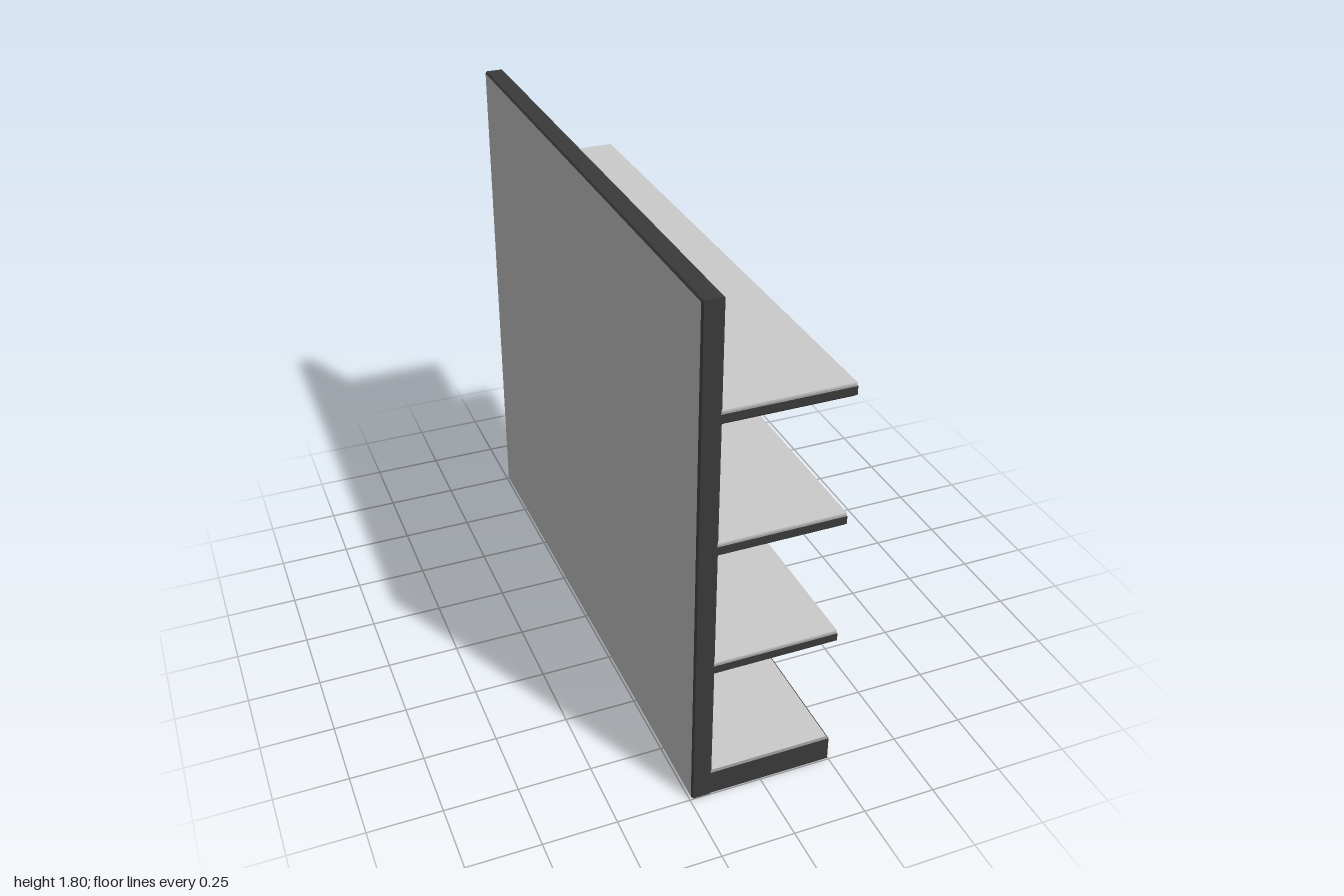
import * as THREE from 'three';

const BEVEL = 0.006;

export function createModel() {
  const model = new THREE.Group();
  model.name = 'shelfUnit';

  const light = new THREE.MeshStandardMaterial({ color: 0xcbcbcb });
  light.name = 'lightGreyBoard';
  const dark = new THREE.MeshStandardMaterial({ color: 0x3a3a3a });
  dark.name = 'darkGreyEdge';

  // Board lying in XY with light faces and a dark, chamfered edge band
  function boardGeometry(width, height, thickness) {
    const w = width / 2 - BEVEL, h = height / 2 - BEVEL;
    const outline = new THREE.Shape([
      new THREE.Vector2(-w, -h), new THREE.Vector2(w, -h),
      new THREE.Vector2(w, h), new THREE.Vector2(-w, h),
    ]);
    const depth = thickness - 2 * BEVEL;
    return new THREE.ExtrudeGeometry(outline, {
      depth, bevelEnabled: true, bevelSize: BEVEL, bevelThickness: BEVEL, bevelSegments: 1,
    }).translate(0, 0, -depth / 2);
  }

  function add(name, geometry, material, x, y) {
    const mesh = new THREE.Mesh(geometry, material);
    mesh.name = name;
    mesh.position.set(x, y, 0);
    model.add(mesh);
  }

  // Upright back panel
  const panel = boardGeometry(2, 1.797, 0.07).rotateY(Math.PI / 2);
  add('backPanel', panel, [light, dark], -0.21, 0.9015);

  // Thick base, running under the panel
  const base = boardGeometry(0.485, 2, 0.1).rotateX(-Math.PI / 2);
  add('base', base, [light, dark], 0.0025, 0.05);

  // Three shelves with a thin light top sheet
  const left = -0.19, right = 0.245, sheet = 0.006;
  const width = right - left, x = (left + right) / 2;
  for (const top of [0.55, 1.0, 1.45]) {
    const shelf = boardGeometry(width, 2, 0.04).rotateX(-Math.PI / 2);
    add('shelf', shelf, [light, dark], x, top - sheet - 0.0195);
    add('shelfTop', new THREE.BoxGeometry(width - 0.004, sheet, 1.996), light, x, top - sheet / 2);
  }

  return model;
}
